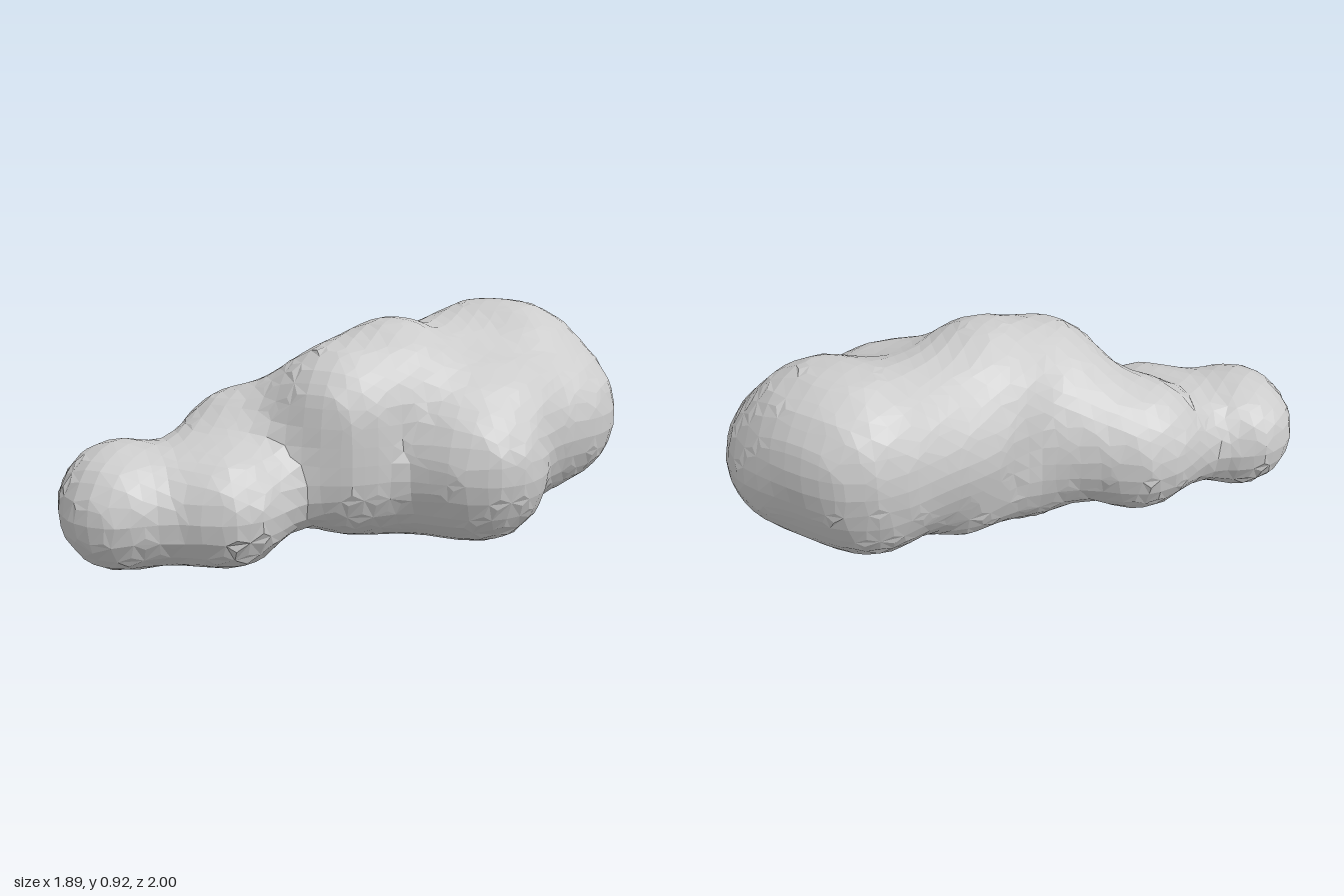
import * as THREE from 'three';

// Lobes in clusters: centre x, y, z and radius
const clusters = {
  frontPair: [
    [-0.707, 0.243, 0.67, 0.238], [-0.635, 0.243, 0.762, 0.228], [-0.46, 0.24, 0.61, 0.225],
    [-0.285, 0.24, 0.575, 0.23], [-0.52, 0.265, 0.44, 0.195], [-0.24, 0.265, 0.43, 0.185],
  ],
  neck: [
    [-0.41, 0.34, 0.215, 0.28], [-0.22, 0.42, 0.11, 0.26],
  ],
  body: [
    // hump
    [0.12, 0.57, -0.10, 0.325], [0.00, 0.55, 0.125, 0.28], [0.20, 0.53, -0.35, 0.29], [0.13, 0.50, -0.36, 0.27],
    // belly
    [0.00, 0.34, 0.12, 0.29], [-0.02, 0.30, 0.00, 0.28], [0.10, 0.305, -0.05, 0.295], [0.30, 0.30, -0.10, 0.29],
    [0.50, 0.29, -0.10, 0.28], [0.46, 0.29, -0.39, 0.275], [0.15, 0.31, -0.30, 0.27],
    // side bulge and its saddle
    [0.45, 0.37, -0.07, 0.285], [0.56, 0.37, -0.04, 0.205], [0.50, 0.46, -0.20, 0.255], [0.52, 0.43, -0.38, 0.265],
    [0.56, 0.50, -0.25, 0.215], [0.35, 0.50, -0.30, 0.265], [0.38, 0.48, -0.15, 0.25],
  ],
  rear: [
    // tall inner half, low outer half, underside
    [0.30, 0.59, -0.69, 0.30], [0.47, 0.585, -0.68, 0.305], [0.245, 0.56, -0.56, 0.275],
    [0.635, 0.43, -0.59, 0.305], [0.60, 0.46, -0.70, 0.28],
    [0.30, 0.43, -0.66, 0.29], [0.45, 0.38, -0.62, 0.275],
  ],
};

function blend(a, b, k) {
  const h = Math.max(k - Math.abs(a - b), 0) / k;
  return Math.min(a, b) - h * h * k / 4;
}

// Distance to the lobes: tight blend inside a cluster, soft between clusters
function field(x, y, z) {
  const skin = 0.011;
  let total = 10;
  for (const lobes of Object.values(clusters)) {
    let d = 10;
    for (const [cx, cy, cz, r] of lobes) d = blend(d, Math.hypot(x - cx, y - cy, z - cz) - r, 0.08);
    total = blend(total, d, 0.12);
  }
  return total - skin;
}

// Coarse quad skin around the field: one vertex per crossed cell
function blobGeometry() {
  const step = 0.075, n = [31, 18, 31], min = [-1.125, -0.16, -1.125];
  const id = (c) => c[0] + n[0] * (c[1] + n[1] * c[2]);
  const at = (c) => c.map((v, i) => min[i] + v * step);
  const cells = [], values = [];
  for (let z = 0; z < n[2]; z++)
    for (let y = 0; y < n[1]; y++)
      for (let x = 0; x < n[0]; x++) {
        cells.push([x, y, z]);
        values.push(field(...at([x, y, z])));
      }

  const positions = [], vertex = new Map(), index = [];
  const inner = (c) => c.every((v, i) => v < n[i] - 1);
  const corner = (c, b) => [c[0] + (b & 1), c[1] + ((b >> 1) & 1), c[2] + (b >> 2)];
  for (const c of cells.filter(inner)) {
    const sum = [0, 0, 0];
    let count = 0;
    for (let b = 0; b < 8; b++)
      for (const bit of [1, 2, 4]) {
        if (b & bit) continue;
        const p = corner(c, b), q = corner(c, b | bit);
        const f = values[id(p)], g = values[id(q)];
        if ((f < 0) === (g < 0)) continue;
        const t = f / (f - g), P = at(p), Q = at(q);
        for (let i = 0; i < 3; i++) sum[i] += P[i] + (Q[i] - P[i]) * t;
        count++;
      }
    if (!count) continue;
    vertex.set(id(c), positions.length / 3);
    positions.push(...sum.map((v) => v / count));
  }

  // One quad around every crossed grid edge
  for (const c of cells.filter((p) => inner(p) && p.every((v) => v > 0)))
    for (let a = 0; a < 3; a++) {
      const u = (a + 1) % 3, v = (a + 2) % 3;
      const shift = (axes, s) => { const p = [...c]; for (const i of axes) p[i] += s; return p; };
      const inside = values[id(c)] < 0;
      if (inside === (values[id(shift([a], 1))] < 0)) continue;
      const q = [shift([u, v], -1), shift([v], -1), c, shift([u], -1)].map((p) => vertex.get(id(p)));
      if (!inside) q.reverse();
      index.push(q[0], q[1], q[2], q[0], q[2], q[3]);
    }

  const geometry = new THREE.BufferGeometry();
  geometry.setAttribute('position', new THREE.Float32BufferAttribute(positions, 3));
  geometry.setIndex(index);
  geometry.computeVertexNormals();
  return geometry;
}

export function createModel() {
  const group = new THREE.Group();
  group.name = 'blob';
  const body = new THREE.Mesh(blobGeometry(),
    new THREE.MeshStandardMaterial({ color: 0xcccccc, flatShading: true }));
  body.name = 'body';
  group.add(body);
  return group;
}
